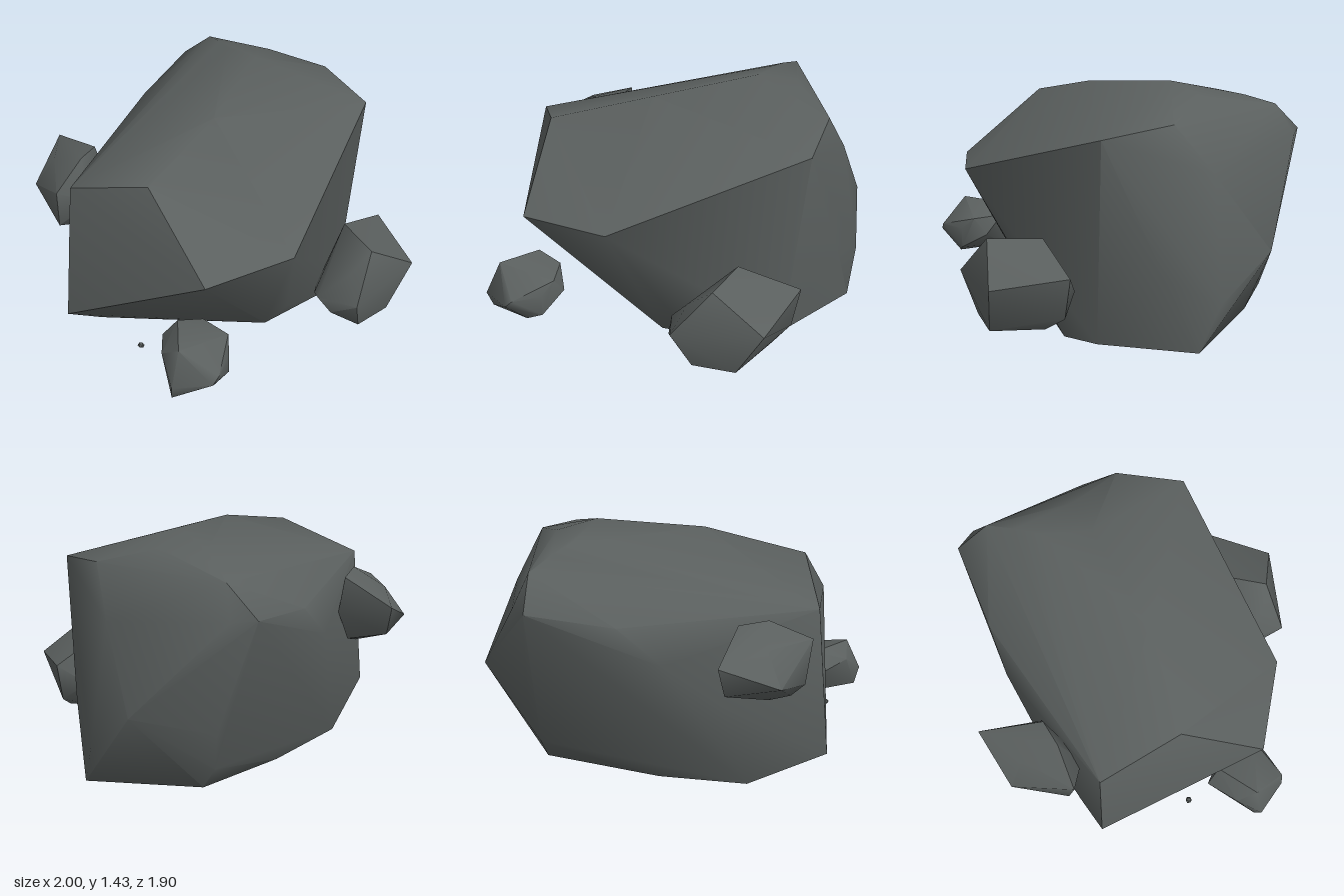
import * as THREE from 'three';
import { ConvexGeometry } from 'three/addons/geometries/ConvexGeometry.js';
import { toCreasedNormals } from 'three/addons/utils/BufferGeometryUtils.js';

const stone = new THREE.MeshStandardMaterial({ color: 0x5a5f5e });
stone.name = 'dark grey stone';

// A chiselled rock: hull of its corner points, with soft shading over shallow edges
function rock(name, corners) {
  const points = corners.map(([x, y, z]) => new THREE.Vector3(x, y, z));
  const mesh = new THREE.Mesh(toCreasedNormals(new ConvexGeometry(points), 0.85), stone);
  mesh.name = name;
  return mesh;
}

export function createModel() {
  const group = new THREE.Group();
  group.name = 'boulders';

  group.add(rock('mainBoulder', [
    // top crest
    [-0.91, 1.08, -0.18], [-0.7, 1.23, 0.25], [-0.15, 1.36, 0.1], [0.38, 1.43, -0.19],
    [0.58, 1.37, -0.3], [0.4, 1.37, -0.47], [0.81, 1.28, -0.05], [0.45, 1.34, -0.61],
    [0.5, 1.29, -0.77],
    // overhanging front ridge
    [-0.7, 0.86, 0.72], [-0.4, 0.86, 0.77], [-0.2, 0.88, 0.83], [0.78, 1.22, 0.33],
    // back ridge and back face
    [0.44, 1.13, -0.95], [0.55, 1.12, -0.87], [0.68, 0.95, -0.74], [0, 1.06, -0.78],
    [-0.22, 0.85, -0.7], [-0.5, 0.6, -0.54], [-0.84, 0.35, -0.31], [0.55, 0.48, -0.76],
    [0.52, 0.25, -0.7],
    // right flank
    [0.95, 0.6, -0.55], [0.88, 1.02, -0.25], [1, 0.35, -0.25], [0.92, 0.5, 0.03],
    [0.98, 0.09, -0.14],
    // underside, cut back at the front right
    [-1, 0.23, -0.19], [-0.8, 0.12, -0.15], [-0.5, 0.02, -0.03], [-0.02, 0.03, 0.41],
    [0.42, 0.04, 0.43], [0.67, 0.08, 0.32], [0.53, 0.11, -0.61], [-0.1, 0.03, -0.46],
    [-0.6, 0.05, -0.38], [0.1, 0, -0.25], [0.5, 0.02, -0.2], [0.1, 0.14, 0.47],
  ]));

  group.add(rock('frontLeftRock', [
    [0.38, 0.64, 0.84], [0.45, 0.63, 0.55], [0.79, 0.51, 0.5], [0.67, 0.45, 0.9],
    [0.18, 0.41, 0.95], [0.12, 0.35, 0.7], [0.24, 0.53, 0.82], [0.28, 0.18, 0.88],
    [0.52, 0.17, 0.87], [0.52, 0.17, 0.55], [0.75, 0.28, 0.52], [0.66, 0.2, 0.6],
    [0.16, 0.32, 0.63], [0.63, 0.38, 0.43], [0.3, 0.22, 0.5], [0.13, 0.3, 0.8],
  ]));

  group.add(rock('frontRightRock', [
    [-0.87, 0.53, 0.71], [-0.72, 0.51, 0.5], [-0.55, 0.47, 0.72], [-0.52, 0.37, 0.65],
    [-0.6, 0.28, 0.79], [-0.74, 0.4, 0.88], [-0.78, 0.36, 0.88], [-0.95, 0.34, 0.75],
    [-0.93, 0.24, 0.72], [-0.7, 0.23, 0.78], [-0.7, 0.24, 0.5], [-0.9, 0.45, 0.6],
    [-0.6, 0.4, 0.79], [-0.78, 0.4, 0.44], [-0.58, 0.47, 0.54],
  ]));

  group.add(rock('backRightRock', [
    [-0.58, 0.96, -0.84], [-0.6, 0.79, -0.79], [-0.86, 0.82, -0.67], [-0.92, 0.97, -0.32],
    [-0.9, 0.72, -0.36], [-0.7, 1.07, -0.4], [-0.56, 1.05, -0.48], [-0.5, 0.86, -0.5],
    [-0.72, 0.62, -0.42], [-0.84, 0.67, -0.42], [-0.58, 0.68, -0.5], [-0.72, 0.85, -0.28],
    [-0.76, 0.99, -0.6],
  ]));

  // stray chip beside the main boulder
  const pebble = new THREE.Mesh(new THREE.IcosahedronGeometry(0.02, 0), stone);
  pebble.name = 'pebble';
  pebble.scale.y = 0.7;
  pebble.position.set(-0.85, 0.28, 0.33);
  group.add(pebble);

  return group;
}
